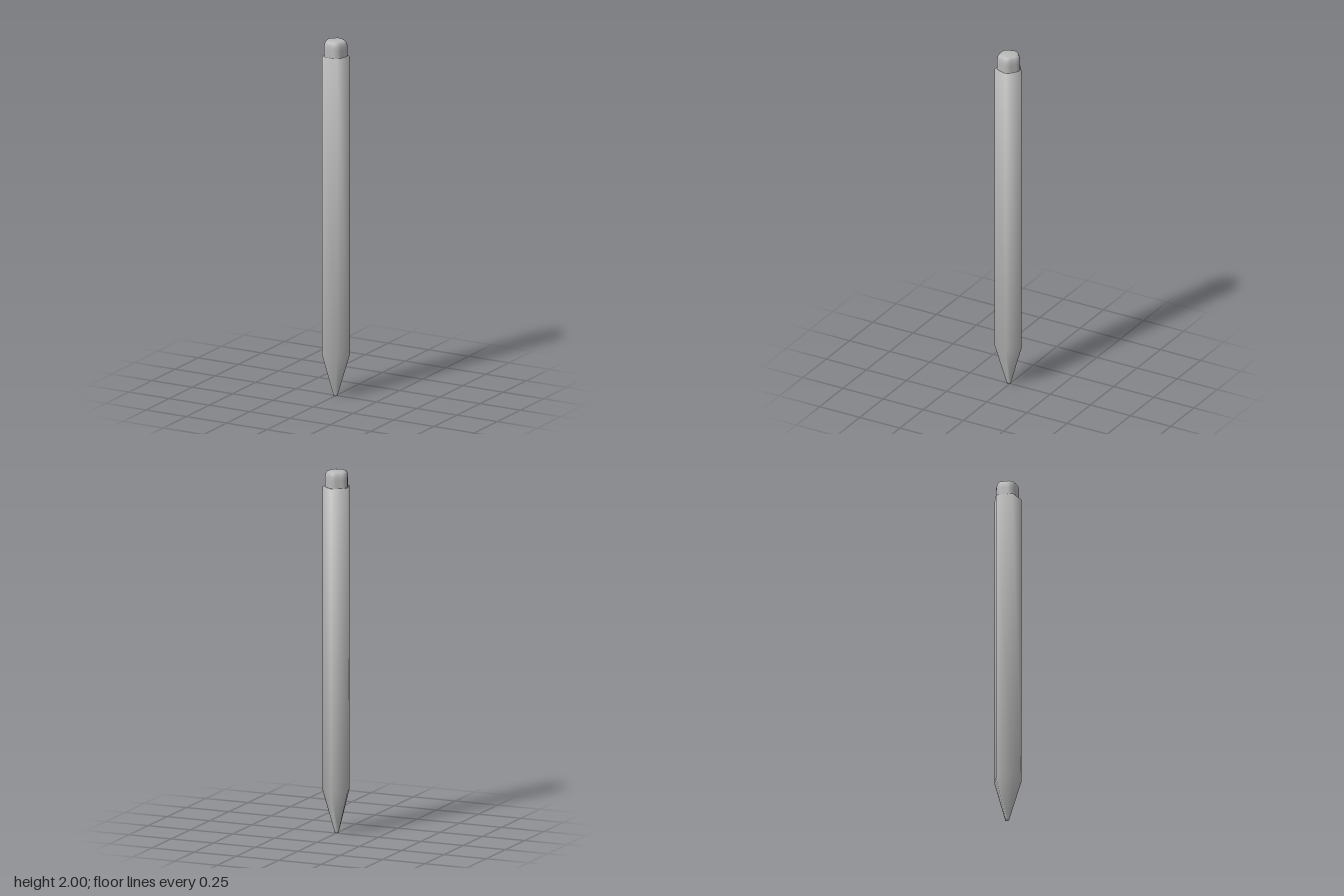
import * as THREE from 'three';
import { mergeVertices } from 'three/addons/utils/BufferGeometryUtils.js';

const CENTRE_Z = 0.007;

// Smooth five-sided shaft; each profile entry is [radius, height, upward normal tilt]
function pentagonLathe(profile) {
  const geo = new THREE.LatheGeometry(
    profile.map(([r, y]) => new THREE.Vector2(r, y)), 5, Math.PI, Math.PI * 2);
  const normal = geo.attributes.normal;
  for (let i = 0; i <= 5; i++) {
    const a = Math.PI + (i * Math.PI * 2) / 5;
    profile.forEach(([, , tilt], j) => {
      const c = Math.cos(tilt);
      normal.setXYZ(i * profile.length + j, Math.sin(a) * c, Math.sin(tilt), Math.cos(a) * c);
    });
  }
  return geo;
}

// Lathe reshaped to a pentagon with rounded corners, then smoothed
function roundedPentagonLathe(profile) {
  let geo = new THREE.LatheGeometry(
    profile.map(([r, y]) => new THREE.Vector2(r, y)), 40, Math.PI, Math.PI * 2);
  const pos = geo.attributes.position;
  const step = (Math.PI * 2) / 5;
  for (let i = 0; i < pos.count; i++) {
    const x = pos.getX(i), z = pos.getZ(i);
    const a = Math.atan2(x, z);
    const d = a - Math.round(a / step) * step;
    const k = Math.min(1 / Math.cos(d), 1.09);
    pos.setX(i, x * k);
    pos.setZ(i, z * k);
  }
  geo.deleteAttribute('uv');
  geo.deleteAttribute('normal');
  geo = mergeVertices(geo, 1e-5);
  geo.computeVertexNormals();
  return geo;
}

export function createModel() {
  const model = new THREE.Group();
  model.name = 'pencil';
  const grey = new THREE.MeshStandardMaterial({ color: 0xb8b8b8 });
  grey.name = 'plain grey';

  const add = (name, geo) => {
    const mesh = new THREE.Mesh(geo, grey);
    mesh.name = name;
    mesh.position.z = CENTRE_Z;
    model.add(mesh);
  };

  // Shaft with sharpened lower end and flat shoulder
  add('shaft', pentagonLathe([
    [0.014, 0.012, -0.2],
    [0.0785, 0.235, -0.14],
    [0.0785, 1.91, 0.5],
    [0, 1.91, Math.PI / 2],
  ]));

  // Blunt point
  add('point', pentagonLathe([
    [0, 0, -Math.PI / 2],
    [0.011, 0, -0.7],
    [0.014, 0.012, -0.2],
  ]));

  // Rounded end cap
  add('endCap', roundedPentagonLathe([
    [0.059, 1.905], [0.059, 1.95], [0.0585, 1.97], [0.055, 1.985],
    [0.049, 1.994], [0.04, 1.998], [0.02, 2], [0, 2],
  ]));

  return model;
}
